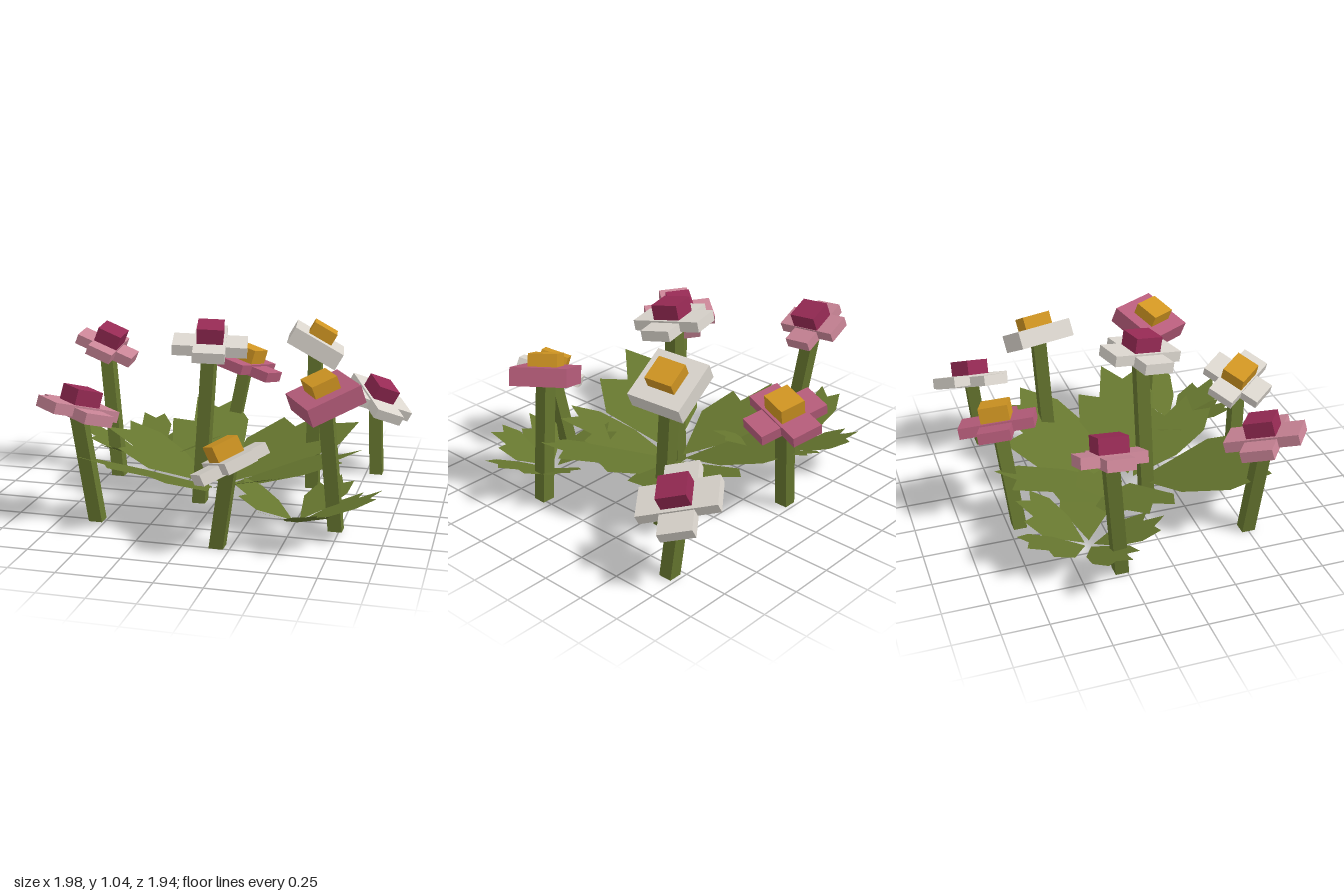
import * as THREE from 'three';

const mat = (name, color, side = THREE.FrontSide) => {
  const m = new THREE.MeshStandardMaterial({ color, side });
  m.name = name;
  return m;
};

export function createModel() {
  const root = new THREE.Group();
  root.name = 'flowerPatch';

  const stemGreen = mat('stemGreen', 0x66762f);
  const leafGreen = mat('leafGreen', 0x66762f, THREE.DoubleSide);
  const white = mat('white', 0xdad5cd);
  const lightPink = mat('lightPink', 0xc98496);
  const deepPink = mat('deepPink', 0xb65c7a);
  const crimson = mat('crimson', 0x962a54);
  const gold = mat('gold', 0xd09522);

  const add = (parent, name, geometry, material, y = 0) => {
    const mesh = new THREE.Mesh(geometry, material);
    mesh.name = name;
    mesh.position.y = y;
    parent.add(mesh);
    return mesh;
  };

  // Square stem leaning from a flat foot to the flower head
  function stemGeometry(base, head) {
    const g = new THREE.BoxGeometry(0.075, head[1], 0.075);
    g.translate(0, head[1] / 2, 0);
    const p = g.attributes.position;
    for (let i = 0; i < p.count; i++) {
      const t = p.getY(i) / head[1];
      p.setX(i, p.getX(i) + base[0] + (head[0] - base[0]) * t);
      p.setZ(i, p.getZ(i) + base[1] + (head[2] - base[1]) * t);
    }
    g.computeVertexNormals();
    return g;
  }

  // Flower: stem plus a tilted head of crossed petals or one square block
  function flower({ base, head, normal, yaw, petal, centre, size = 0.41, square = false }) {
    const group = new THREE.Group();
    group.name = 'flower';
    add(group, 'stem', stemGeometry(base, head), stemGreen);

    const top = new THREE.Group();
    top.name = 'flowerHead';
    top.position.set(...head);
    top.quaternion.setFromUnitVectors(
      new THREE.Vector3(0, 1, 0), new THREE.Vector3(...normal).normalize());
    top.rotateY(THREE.MathUtils.degToRad(yaw));
    if (square) {
      add(top, 'petalBlock', new THREE.BoxGeometry(0.31, 0.1, 0.31), petal);
    } else {
      const w = size * 0.43;
      add(top, 'longPetals', new THREE.BoxGeometry(w, 0.06, size), petal, 0.005);
      add(top, 'crossPetals', new THREE.BoxGeometry(size, 0.06, w), petal, -0.005);
    }
    add(top, 'flowerCentre', new THREE.BoxGeometry(0.145, 0.1, 0.16), centre, 0.07);
    group.add(top);
    root.add(group);
  }

  [
    { base: [-0.13, -0.69], head: [-0.02, 0.605, -0.75], normal: [0.27, 1, -0.1], yaw: -18, petal: deepPink, centre: gold },
    { base: [0.81, -0.69], head: [0.785, 0.445, -0.735], normal: [0.52, 1, 0.05], yaw: 33, petal: white, centre: crimson, size: 0.43 },
    { base: [-0.69, -0.28], head: [-0.78, 0.765, -0.36], normal: [0.42, 1, 0.08], yaw: 2, petal: lightPink, centre: crimson, size: 0.35 },
    { base: [0.48, -0.34], head: [0.475, 0.84, -0.39], normal: [0.55, 1, -0.14], yaw: 8, petal: white, centre: gold, square: true },
    { base: [-0.09, 0.075], head: [-0.035, 0.905, 0.05], normal: [0.08, 1, 0.17], yaw: 12, petal: white, centre: crimson },
    { base: [0.73, 0.33], head: [0.66, 0.725, 0.345], normal: [-0.3, 1, 0.24], yaw: 32, petal: deepPink, centre: gold, square: true },
    { base: [-0.55, 0.5], head: [-0.628, 0.625, 0.545], normal: [0.22, 1, -0.22], yaw: -36, petal: lightPink, centre: crimson },
    { base: [0.18, 0.72], head: [0.255, 0.47, 0.765], normal: [-0.48, 1, -0.04], yaw: 36, petal: white, centre: gold, size: 0.38 },
  ].forEach(flower);

  // Jagged leaf outline: x runs along the leaf, y across it
  const outline = [
    [0.06, 0], [0.46, -0.36], [0.76, -0.33], [0.72, -0.14], [1, -0.08],
    [0.87, 0.1], [0.96, 0.26], [0.72, 0.36], [0.4, 0.27],
  ];

  // Clump: flat leaves rising outwards around a centre; each is [angle, length, width]
  function clump(x, z, slope, leaves) {
    const group = new THREE.Group();
    group.name = 'leafClump';
    group.position.set(x, 0.065, z);
    for (const [angle, length, width] of leaves) {
      const g = new THREE.ShapeGeometry(new THREE.Shape(
        outline.map(([u, v]) => new THREE.Vector2(u * length, -v * length * width))));
      g.rotateX(-Math.PI / 2);
      const p = g.attributes.position;
      for (let i = 0; i < p.count; i++) p.setY(i, p.getX(i) * slope);
      g.computeVertexNormals();
      add(group, 'leaf', g, leafGreen).rotation.y = -THREE.MathUtils.degToRad(angle);
    }
    root.add(group);
  }

  clump(0, 0, 0.38, [
    [121, 0.87, 1], [194, 0.72, 0.85], [250, 0.83, 0.8],
    [313, 0.86, 1], [10, 0.83, 0.8], [54, 0.66, 0.85],
  ]);
  clump(-0.52, -0.4, 0.46, [
    [250, 0.41, 0.9], [172, 0.47, 0.8], [15, 0.47, 0.9], [-48, 0.42, 0.9], [110, 0.4, 0.9],
  ]);
  clump(0.54, 0.45, 0.46, [
    [-2, 0.44, 0.8], [68, 0.38, 0.9], [115, 0.38, 0.8], [195, 0.38, 0.9], [-58, 0.38, 0.8],
  ]);

  return root;
}
